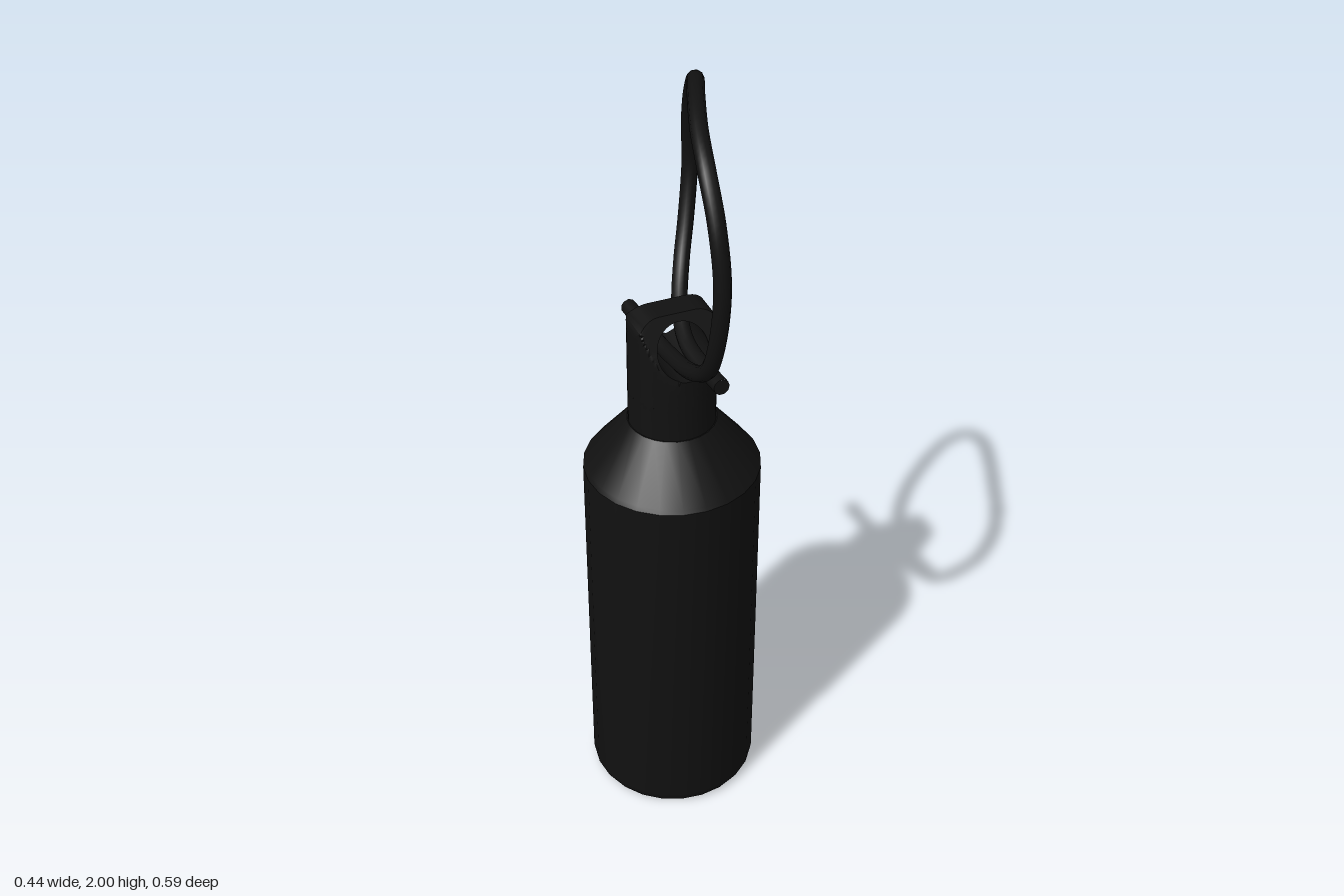
import * as THREE from 'three';
import { toCreasedNormals } from 'three/addons/utils/BufferGeometryUtils.js';

const black = new THREE.MeshStandardMaterial({ color: 0x111111 });
const R = 0.107; // neck radius
const AXIS_Z = -0.035; // the bottle axis sits slightly behind the origin

function add(parent, name, geometry) {
  const mesh = new THREE.Mesh(geometry, black);
  mesh.name = name;
  parent.add(mesh);
  return mesh;
}

// Half thickness of the eyelet: a cylinder cut by two sloping flats
function halfDepth(x, y) {
  const round = Math.sqrt(Math.max(0, R * R - x * x));
  const flat = y < 1.31 ? R : THREE.MathUtils.mapLinear(y, 1.31, 1.45, 0.1, 0.034);
  return Math.min(round, flat);
}

// Wedge-shaped eyelet with a round hole, swept around the hole
function eyeletGeometry() {
  const holeY = 1.37, holeR = 0.064, top = 1.452, base = 1.22, corner = 0.062;
  const shape = new THREE.Shape();
  shape.moveTo(R, base);
  shape.lineTo(R, top - corner);
  shape.absarc(R - corner, top - corner, corner, 0, Math.PI / 2);
  shape.absarc(corner - R, top - corner, corner, Math.PI / 2, Math.PI);
  shape.lineTo(-R, base);
  shape.lineTo(R, base);
  const outline = shape.getSpacedPoints(96).slice(0, 96);
  const steps = 10, pos = [], index = [];
  const rows = 2 * (steps + 1);
  for (const p of outline) {
    const a = Math.atan2(p.y - holeY, p.x);
    const hx = holeR * Math.cos(a), hy = holeY + holeR * Math.sin(a);
    for (let j = 0; j < rows; j++) {
      const front = j <= steps;
      const s = Math.sin(((front ? j : rows - 1 - j) / steps) * Math.PI / 2);
      const x = THREE.MathUtils.lerp(hx, p.x, s);
      const y = THREE.MathUtils.lerp(hy, p.y, s);
      pos.push(x, y, (front ? 1 : -1) * halfDepth(x, y));
    }
  }
  const n = outline.length;
  for (let i = 0; i < n; i++) {
    for (let j = 0; j < rows; j++) {
      const i2 = (i + 1) % n, j2 = (j + 1) % rows;
      const a = i * rows + j, b = i * rows + j2, c = i2 * rows + j2, d = i2 * rows + j;
      index.push(a, b, c, a, c, d);
    }
  }
  const geo = new THREE.BufferGeometry();
  geo.setAttribute('position', new THREE.Float32BufferAttribute(pos, 3));
  geo.setIndex(index);
  return toCreasedNormals(geo, 0.5);
}

function lathe(profile, segments) {
  const points = profile.map(([r, y]) => new THREE.Vector2(r, y));
  return toCreasedNormals(new THREE.LatheGeometry(points, segments), 0.5);
}

export function createModel() {
  const model = new THREE.Group();
  model.name = 'bottleWithCord';

  const bottle = new THREE.Group();
  bottle.name = 'bottle';
  bottle.position.z = AXIS_Z;
  model.add(bottle);

  // Body with rounded foot and sloping shoulder
  add(bottle, 'body', lathe([
    [0, 0], [0.198, 0], [0.211, 0.006], [0.218, 0.018], [0.22, 0.032],
    [0.22, 1.005], [0.213, 1.015], [R + 0.003, 1.14], [0, 1.14],
  ], 24));
  add(bottle, 'neck', lathe([[R, 1.13], [R, 1.23], [0, 1.23]], 40));
  add(bottle, 'eyelet', eyeletGeometry());

  // Cord: both tails cross inside the eyelet and the loop stands above it
  const cord = new THREE.Group();
  cord.name = 'cord';
  model.add(cord);
  const path = new THREE.CatmullRomCurve3([
    [-0.025, 1.33, -0.253], [-0.02, 1.33, -0.13], [-0.015, 1.335, -0.02],
    [-0.015, 1.37, 0.12], [-0.013, 1.43, 0.21], [-0.012, 1.53, 0.256],
    [-0.01, 1.68, 0.274], [-0.015, 1.82, 0.25], [-0.012, 1.91, 0.19],
    [0.012, 1.957, 0.09], [0.055, 1.978, -0.03], [0.1, 1.957, -0.14],
    [0.125, 1.885, -0.22], [0.137, 1.79, -0.26], [0.145, 1.68, -0.275],
    [0.125, 1.55, -0.25], [0.095, 1.46, -0.205], [0.055, 1.39, -0.12],
    [0.03, 1.357, -0.02], [0.03, 1.35, 0.08], [0.033, 1.355, 0.183],
  ].map((p) => new THREE.Vector3(...p)));
  add(cord, 'cordLoop', new THREE.TubeGeometry(path, 140, 0.02, 10));
  for (const t of [0, 1]) {
    const cap = add(cord, 'cordEnd', new THREE.CircleGeometry(0.02, 10));
    cap.position.copy(path.getPointAt(t));
    const outward = path.getTangentAt(t).multiplyScalar(t ? 1 : -1);
    cap.lookAt(cap.position.clone().add(outward));
  }
  return model;
}
